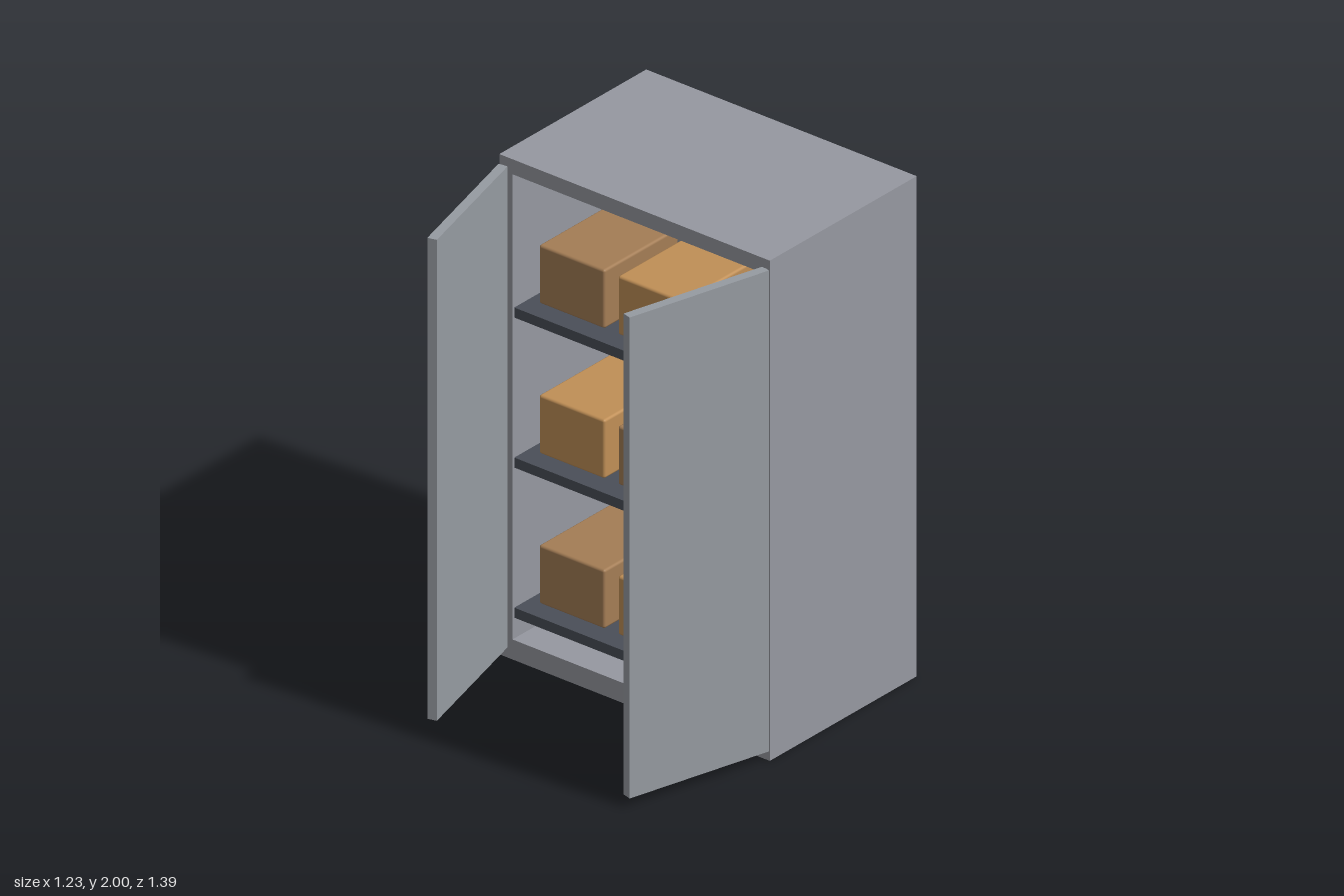
import * as THREE from 'three';
import { RoundedBoxGeometry } from 'three/addons/geometries/RoundedBoxGeometry.js';

const mat = (name, color) => Object.assign(new THREE.MeshStandardMaterial({ color }), { name });

export function createModel() {
  const root = new THREE.Group();
  root.name = 'storageCabinet';
  const bodyGrey = mat('bodyGrey', 0x9698a0);
  const doorGrey = mat('doorGrey', 0x969ba1);
  const shelfGrey = mat('shelfGrey', 0x4a4f58);
  const lightCardboard = mat('lightCardboard', 0xc08f56);
  const darkCardboard = mat('darkCardboard', 0xa47d55);

  const W = 0.617, BACK = -0.697, FRONT = 0.113, T = 0.06;

  // box given by its minimum and maximum corners
  function slab(name, material, x0, x1, y0, y1, z0, z1, parent = root) {
    const mesh = new THREE.Mesh(new THREE.BoxGeometry(x1 - x0, y1 - y0, z1 - z0), material);
    mesh.position.set((x0 + x1) / 2, (y0 + y1) / 2, (z0 + z1) / 2);
    mesh.name = name;
    parent.add(mesh);
  }

  // carcass
  slab('topPanel', bodyGrey, -W, W, 1.94, 2, BACK, FRONT);
  slab('bottomPanel', bodyGrey, -W, W, 0, 0.08, BACK, FRONT);
  slab('leftWall', bodyGrey, W - T, W, 0.08, 1.94, BACK, FRONT);
  slab('rightWall', bodyGrey, -W, -W + T, 0.08, 1.94, BACK, FRONT);
  slab('backPanel', bodyGrey, -W + T, W - T, 0.08, 1.94, BACK, BACK + T);

  // open doors, swung about their outer front corners
  for (const side of [-1, 1]) {
    const hinge = new THREE.Group();
    hinge.name = side > 0 ? 'leftDoor' : 'rightDoor';
    hinge.position.set(side * W, 0, 0.118);
    hinge.rotation.y = -side * THREE.MathUtils.degToRad(15);
    const inner = -side * 0.037;
    slab('doorPanel', doorGrey, Math.min(0, inner), Math.max(0, inner), 0.04, 1.963, 0, 0.6, hinge);
    root.add(hinge);
  }

  // shelves, each with three cartons in alternating shades
  const carton = new RoundedBoxGeometry(0.3, 0.235, 0.41, 2, 0.01);
  [0.203, 0.803, 1.403].forEach((top, row) => {
    slab('shelf', shelfGrey, -W + T, W - T, top - 0.04, top, BACK + T, FRONT - 0.01);
    for (let col = 0; col < 3; col++) {
      const box = new THREE.Mesh(carton, (row + col) % 2 ? lightCardboard : darkCardboard);
      box.name = 'carton';
      box.position.set((col - 1) * 0.36, top + 0.1175, -0.18);
      root.add(box);
    }
  });
  return root;
}
